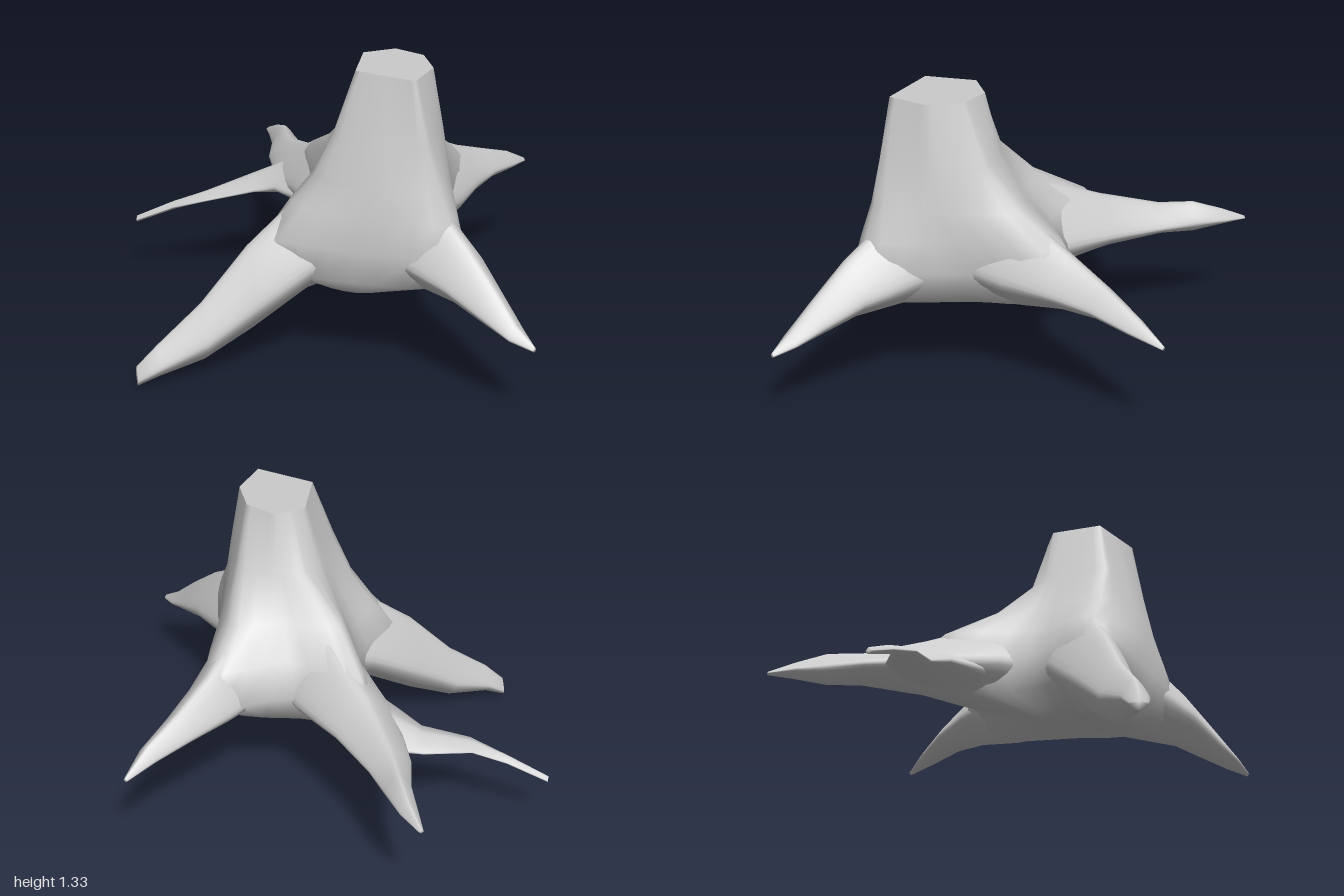
import * as THREE from 'three';

const SIDES = 32;
const V = (x, y, z) => new THREE.Vector3(x, y, z);
const material = new THREE.MeshStandardMaterial({ color: 0xcccccc });

// Trunk outlines from the underside to the cut: height, roundness, then x, z of
// eight corners, alternating hollows and root lobes: right, back right, back,
// back left, left, front left, front, front right
const TRUNK = [
  [0.365, 0.5, [0.02, 0.22, 0.07, 0.13, 0.16, 0.10, 0.27, 0.14, 0.32, 0.24, 0.36, 0.38, 0.20, 0.47, -0.01, 0.40]],
  [0.45, 0.5, [-0.08, 0.14, -0.12, -0.14, 0.10, -0.17, 0.39, -0.19, 0.47, 0.07, 0.57, 0.48, 0.20, 0.55, -0.16, 0.49]],
  [0.60, 0.5, [-0.10, 0.13, -0.27, -0.33, 0.10, -0.23, 0.49, -0.40, 0.51, 0.06, 0.65, 0.53, 0.20, 0.56, -0.19, 0.50]],
  [0.74, 0.5, [-0.06, 0.14, -0.18, -0.22, 0.15, -0.17, 0.46, -0.31, 0.53, 0.12, 0.60, 0.50, 0.25, 0.55, -0.09, 0.44]],
  [0.87, 0.4, [0.00, 0.16, -0.04, -0.03, 0.20, -0.07, 0.42, -0.12, 0.53, 0.20, 0.55, 0.48, 0.28, 0.53, 0.01, 0.44]],
  [1.06, 0.2, [0.08, 0.17, 0.14, 0.06, 0.25, 0.02, 0.42, 0.03, 0.51, 0.24, 0.49, 0.47, 0.29, 0.48, 0.09, 0.43]],
  [1.325, 0, [0.15, 0.16, 0.21, 0.12, 0.27, 0.08, 0.40, 0.13, 0.47, 0.27, 0.43, 0.44, 0.30, 0.41, 0.17, 0.38]],
];

// Closed ring through a few corners; roundness 0 keeps straight edges
function ringThrough(corners, roundness) {
  const curve = new THREE.CatmullRomCurve3(corners, true, 'catmullrom', roundness);
  return Array.from({ length: SIDES }, (_, i) => curve.getPoint(i / SIDES));
}

function trunkRing([y, roundness, xz]) {
  const corners = Array.from({ length: 8 }, (_, i) => V(xz[2 * i], y, xz[2 * i + 1]));
  return ringThrough(corners, roundness);
}

// A ring collapsed to its middle, used to close an end
function collapse(ring) {
  const c = ring.reduce((s, p) => s.add(p), V(0, 0, 0)).divideScalar(ring.length);
  return ring.map(() => c.clone());
}

// Smooth skin over a series of rings
function loft(name, rings) {
  const n = SIDES, index = [];
  for (let i = 0; i < rings.length - 1; i++) {
    for (let j = 0; j < n; j++) {
      const a = i * n + j, b = i * n + (j + 1) % n;
      index.push(a, a + n, b, b, a + n, b + n);
    }
  }
  const geometry = new THREE.BufferGeometry().setFromPoints(rings.flat());
  geometry.setIndex(index);
  geometry.computeVertexNormals();
  const mesh = new THREE.Mesh(geometry, material);
  mesh.name = name;
  return mesh;
}

// Root sections: x, z, half width, top height, bottom height
function root(name, sections) {
  const rings = sections.map(([x, z, w, top, bottom], i) => {
    const p = sections[Math.max(i - 1, 0)], q = sections[Math.min(i + 1, sections.length - 1)];
    const d = V(q[0] - p[0], 0, q[1] - p[1]).normalize();
    const rx = -d.z * w, rz = d.x * w;
    const side = THREE.MathUtils.lerp(bottom, top, 0.4);
    return ringThrough([
      V(x + rx, side, z + rz), V(x, top, z), V(x - rx, side, z - rz), V(x, bottom, z),
    ], 0.38);
  });
  return loft(name, [...rings, collapse(rings[rings.length - 1])]);
}

export function createModel() {
  const group = new THREE.Group();
  group.name = 'treeStump';

  // Trunk flaring into the root lobes, and its sawn top
  const trunk = TRUNK.map(trunkRing);
  const cut = trunk[trunk.length - 1];
  group.add(loft('trunk', [collapse(trunk[0]), ...trunk]));
  group.add(loft('cutTop', [cut, collapse(cut)]));

  // Main roots
  group.add(root('frontLeftRoot', [
    [0.34, 0.30, 0.19, 0.92, 0.39],
    [0.50, 0.42, 0.17, 0.82, 0.40],
    [0.68, 0.55, 0.125, 0.68, 0.41],
    [0.82, 0.65, 0.08, 0.54, 0.375],
    [0.92, 0.72, 0.05, 0.43, 0.355],
    [1.00, 0.765, 0.01, 0.37, 0.345],
  ]));
  group.add(root('frontRightRoot', [
    [0.14, 0.28, 0.19, 0.90, 0.38],
    [-0.05, 0.40, 0.18, 0.77, 0.33],
    [-0.25, 0.545, 0.13, 0.57, 0.18],
    [-0.42, 0.67, 0.09, 0.34, 0.075],
    [-0.58, 0.79, 0.06, 0.18, 0.035],
    [-0.66, 0.83, 0.04, 0.09, 0.0],
  ]));
  group.add(root('backLeftRoot', [
    [0.32, 0.08, 0.18, 0.92, 0.41],
    [0.39, -0.13, 0.165, 0.85, 0.43],
    [0.46, -0.34, 0.125, 0.74, 0.48],
    [0.545, -0.52, 0.085, 0.66, 0.505],
    [0.635, -0.68, 0.05, 0.59, 0.50],
    [0.695, -0.81, 0.01, 0.51, 0.49],
  ]));
  group.add(root('backRightRoot', [
    [0.14, 0.06, 0.19, 0.90, 0.40],
    [-0.03, -0.11, 0.19, 0.82, 0.42],
    [-0.22, -0.29, 0.15, 0.70, 0.45],
    [-0.37, -0.52, 0.095, 0.62, 0.475],
    [-0.43, -0.66, 0.06, 0.62, 0.475],
    [-0.50, -0.78, 0.04, 0.57, 0.495],
    [-0.57, -0.87, 0.01, 0.515, 0.50],
  ]));

  // Thin side branch forking off the back right root
  group.add(root('sideRoot', [
    [-0.08, -0.14, 0.15, 0.70, 0.44],
    [-0.28, -0.27, 0.16, 0.63, 0.47],
    [-0.46, -0.255, 0.10, 0.54, 0.46],
    [-0.66, -0.175, 0.055, 0.465, 0.42],
    [-0.82, -0.165, 0.025, 0.40, 0.36],
    [-1.00, -0.155, 0.015, 0.31, 0.28],
  ]));
  return group;
}
